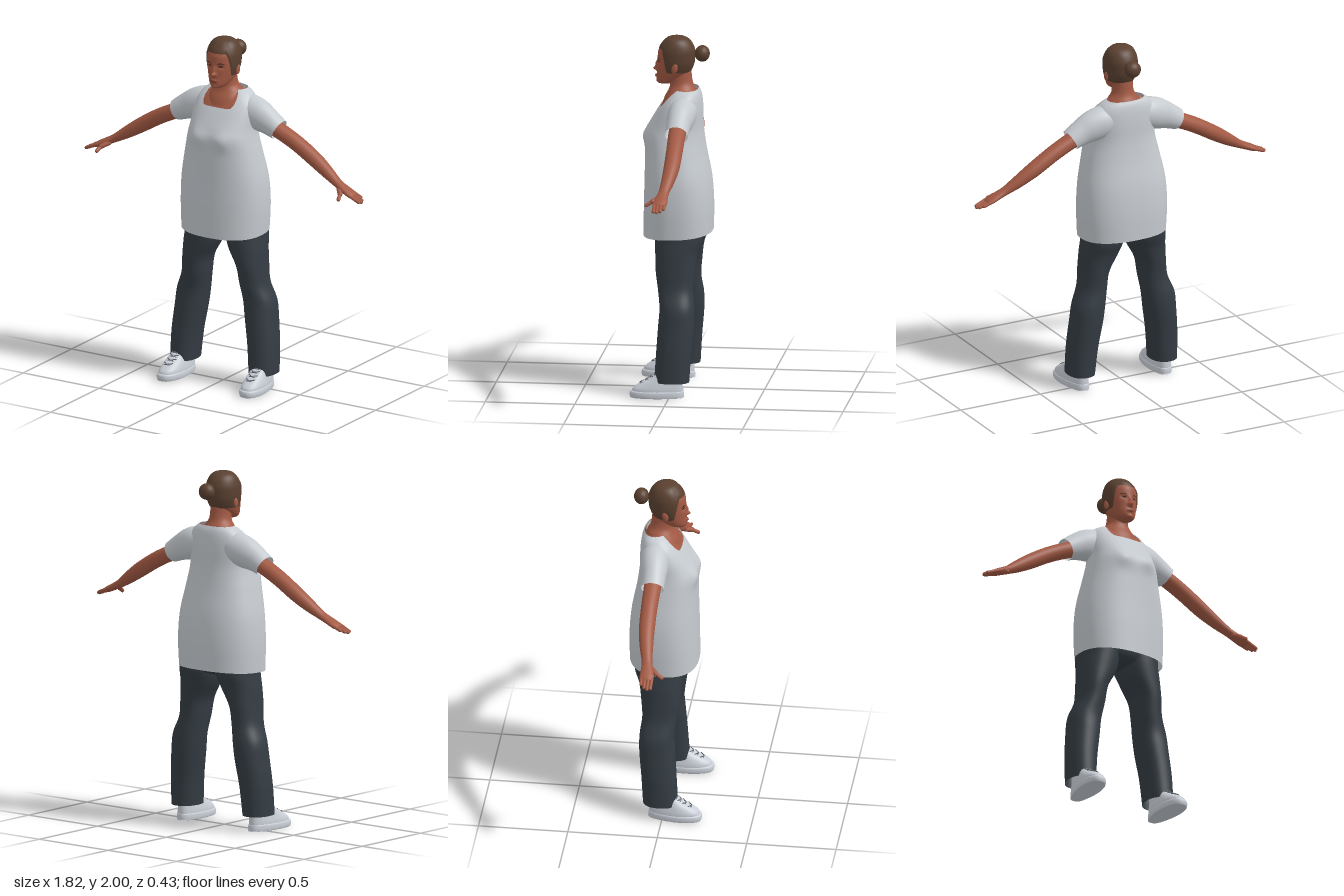
import * as THREE from 'three';

const mat = (name, color, side = THREE.FrontSide) => {
  const m = new THREE.MeshStandardMaterial({ color, side });
  m.name = name;
  return m;
};
const { sin, cos, sqrt, abs, sign, max, min, exp, PI } = Math;
const smooth = THREE.MathUtils.smoothstep, mix = THREE.MathUtils.lerp;

// Catmull-Rom sample of a list of cross-sections, t in 0..1
function sample(keys, t) {
  const n = keys.length - 1, p = min(max(t, 0), 1) * n, i = min(Math.floor(p), n - 1), f = p - i;
  const k = j => keys[min(max(j, 0), n)];
  return keys[0].map((_, c) => {
    const a = k(i - 1)[c], b = k(i)[c], d = k(i + 1)[c], e = k(i + 2)[c];
    return b + 0.5 * f * (d - a + f * (2 * a - 5 * b + 4 * d - e + f * (3 * (b - d) + e - a)));
  });
}

// Closed-around surface from point(angle, t)
function surface(point, nu = 40, nv = 40) {
  const pos = [], idx = [];
  for (let j = 0; j <= nv; j++)
    for (let i = 0; i < nu; i++) pos.push(...point(i / nu * 2 * PI, j / nv));
  for (let j = 0; j < nv; j++)
    for (let i = 0; i < nu; i++) {
      const a = j * nu + i, b = j * nu + (i + 1) % nu;
      idx.push(a, a + nu, b + nu, a, b + nu, b);
    }
  const g = new THREE.BufferGeometry();
  g.setAttribute('position', new THREE.Float32BufferAttribute(pos, 3));
  g.setIndex(idx);
  g.computeVertexNormals();
  return g;
}

// Horizontal section: [y, half width, front z, back z, centre x]
function ringPoint([y, hw, zf, zb, cx = 0], a, e = 1, grow = 0) {
  const pw = v => sign(v) * abs(v) ** e;
  return [cx + max(hw + grow, 0) * pw(cos(a)), y, (zf + zb) / 2 + ((zf - zb) / 2 + grow) * pw(sin(a))];
}
const stack = (keys, nu, nv, e) => surface((a, t) => ringPoint(sample(keys, t), a, e), nu, nv);

// Limb section along a path in x and y: [x, y, z, radius across, radius in z]
function limb(keys, nu = 28, nv = 40) {
  return surface((a, t) => {
    const [x, y, z, r, rz] = sample(keys, t);
    const p = sample(keys, t - 0.02), q = sample(keys, t + 0.02);
    const dx = q[0] - p[0], dy = q[1] - p[1], l = Math.hypot(dx, dy) || 1;
    return [x - dy / l * r * cos(a), y + dx / l * r * cos(a), z - rz * sin(a)];
  }, nu, nv);
}

function capsule(a, b, r) {
  const A = new THREE.Vector3(...a), B = new THREE.Vector3(...b), d = B.clone().sub(A);
  const g = new THREE.CapsuleGeometry(r, d.length(), 5, 10);
  g.applyQuaternion(new THREE.Quaternion().setFromUnitVectors(new THREE.Vector3(0, 1, 0), d.normalize()));
  const m = A.add(B).multiplyScalar(0.5);
  return g.translate(m.x, m.y, m.z);
}

function mirror(geo) {
  const g = geo.clone().scale(-1, 1, 1), ix = g.index.array;
  for (let i = 0; i < ix.length; i += 3) [ix[i], ix[i + 1]] = [ix[i + 1], ix[i]];
  g.computeVertexNormals();
  return g;
}

const TORSO = [[0.89, 0.25, 0.172, -0.212], [1.05, 0.257, 0.17, -0.214], [1.2, 0.249, 0.166, -0.203],
  [1.35, 0.22, 0.164, -0.175], [1.44, 0.2, 0.165, -0.162], [1.5, 0.19, 0.145, -0.157], [1.58, 0.187, 0.1, -0.155],
  [1.64, 0.175, 0.06, -0.15], [1.68, 0.145, 0.025, -0.142], [1.705, 0.108, -0.005, -0.13]];
const HEAD = [[1.725, 0, 0.05, 0.05], [1.732, 0.03, 0.093, 0.02], [1.75, 0.052, 0.102, -0.02],
  [1.775, 0.067, 0.101, -0.06], [1.8, 0.077, 0.099, -0.085], [1.84, 0.085, 0.099, -0.1], [1.88, 0.088, 0.097, -0.105],
  [1.92, 0.086, 0.092, -0.104], [1.96, 0.071, 0.066, -0.084], [1.984, 0.043, 0.034, -0.052], [1.992, 0, -0.008, -0.008]];
// Face relief: [x, y, spread x, spread y, depth]
const RELIEF = [[0, 1.812, 0.013, 0.011, 0.022], [0, 1.837, 0.009, 0.02, 0.012], [0.034, 1.857, 0.016, 0.011, -0.008],
  [-0.034, 1.857, 0.016, 0.011, -0.008], [0, 1.773, 0.02, 0.009, 0.008], [0, 1.742, 0.016, 0.009, 0.004]];
const relief = (x, y) => RELIEF.reduce((s, [cx, cy, sx, sy, d]) =>
  s + d * exp(-(((x - cx) / sx) ** 2) - ((y - cy) / sy) ** 2), 0);

function headT(y) {
  let lo = 0, hi = 1;
  for (let i = 0; i < 24; i++) {
    const m = (lo + hi) / 2;
    if (sample(HEAD, m)[0] < y) lo = m; else hi = m;
  }
  return lo;
}
function faceZ(x, y) {
  const [, hw, zf, zb] = sample(HEAD, headT(y));
  return (zf + zb) / 2 + (zf - zb) / 2 * sqrt(max(0, 1 - (x / hw) ** 2)) + relief(x, y);
}
// Thin painted patch laid over the face
function facePatch(x, y, rx, ry, bend = 0) {
  const g = new THREE.RingGeometry(0, 1, 24, 4), p = g.attributes.position;
  for (let i = 0; i < p.count; i++) {
    const u = p.getX(i), px = x + u * rx, py = y + p.getY(i) * ry - bend * u * u;
    p.setXYZ(i, px, py, faceZ(px, py) + 0.0025);
  }
  g.computeVertexNormals();
  return g;
}

export function createModel() {
  const group = new THREE.Group();
  const skin = mat('skin', 0xa35a44), lip = mat('lip', 0x8a4539), dark = mat('dark brown', 0x3b2620);
  const hair = mat('hair', 0x5a4030, THREE.DoubleSide), shirt = mat('shirt cloth', 0xc6cbd0, THREE.DoubleSide);
  const denim = mat('trouser cloth', 0x343c43, THREE.DoubleSide);
  const shoe = mat('shoe', 0xc9ced6), lace = mat('lace', 0x686d75);
  const add = (name, geo, m) => {
    const mesh = new THREE.Mesh(geo, m);
    mesh.name = name;
    group.add(mesh);
  };
  const pair = (name, geo, m) => {
    add('left' + name, geo, m);
    add('right' + name, mirror(geo), m);
  };

  // Tunic with scooped neckline, and the chest beneath it
  const torso = (a, t, grow) => {
    const p = ringPoint(sample(TORSO, t), a, 0.84, grow);
    if (sin(a) > 0) p[2] += 0.014 * exp(-(((abs(p[0]) - 0.085) / 0.055) ** 2) - ((p[1] - 1.455) / 0.05) ** 2);
    p[1] -= 0.012 * sin(a) * (1 - smooth(t, 0, 0.15));
    return p;
  };
  add('tunic', surface((a, t) => torso(a, t * mix(1, 0.725, smooth(sin(a), 0.66, 0.93)), 0), 72, 60), shirt);
  add('chest', surface((a, t) => torso(a, mix(0.55, 1, t), -0.007), 48, 24), skin);
  add('neck', stack([[1.62, 0.12, 0.07, -0.13], [1.66, 0.11, 0.055, -0.128], [1.695, 0.09, 0.036, -0.12],
    [1.725, 0.066, 0.028, -0.104], [1.76, 0.058, 0.032, -0.095], [1.82, 0.058, 0.035, -0.09]], 36, 24), skin);

  // Sleeves and arms
  pair('Sleeve', limb([[0.09, 1.6, -0.06, 0.08, 0.075], [0.15, 1.585, -0.058, 0.09, 0.08], [0.21, 1.565, -0.054, 0.088, 0.076],
    [0.27, 1.54, -0.05, 0.074, 0.067], [0.335, 1.507, -0.048, 0.06, 0.063]], 36, 24), shirt);
  pair('Arm', limb([[0.22, 1.55, -0.05, 0.05, 0.05], [0.34, 1.5, -0.05, 0.045, 0.048], [0.45, 1.447, -0.052, 0.044, 0.046],
    [0.57, 1.375, -0.05, 0.042, 0.044], [0.66, 1.318, -0.04, 0.034, 0.037], [0.73, 1.275, -0.028, 0.024, 0.03],
    [0.77, 1.255, -0.022, 0.021, 0.033], [0.82, 1.232, -0.018, 0.018, 0.039], [0.845, 1.22, -0.016, 0.012, 0.034],
    [0.852, 1.216, -0.016, 0, 0]]), skin);

  // Fingers and thumbs
  [0.875, 0.893, 0.902, 0.896].forEach((x, i) => {
    const z = -0.047 + i * 0.02;
    pair('Finger' + (i + 1), capsule([0.82, 1.233, z], [x, 1.197 + (0.902 - x) * 0.5, z * 0.9], 0.0095), skin);
  });
  pair('ThumbBase', capsule([0.755, 1.25, -0.005], [0.785, 1.232, 0.03], 0.014), skin);
  pair('Thumb', capsule([0.785, 1.232, 0.03], [0.795, 1.212, 0.063], 0.0105), skin);

  // Head, ears, and painted face
  add('head', surface((a, t) => {
    const p = ringPoint(sample(HEAD, t), a);
    if (sin(a) > 0) p[2] += relief(p[0], p[1]);
    return p;
  }, 110, 90), skin);
  pair('Ear', new THREE.SphereGeometry(1, 16, 12).scale(0.01, 0.03, 0.017).rotateX(-0.2).translate(0.089, 1.83, -0.008), skin);
  pair('Eye', facePatch(0.034, 1.857, 0.013, 0.0045), dark);
  pair('Eyebrow', facePatch(0.036, 1.877, 0.019, 0.0028, 0.005), dark);
  add('mouth', facePatch(0, 1.773, 0.025, 0.0075), lip);
  add('mouthLine', facePatch(0, 1.773, 0.023, 0.001).translate(0, 0, 0.001), dark);

  // Swept-back hair with a bun
  add('hair', surface((a, t) => {
    const start = headT(mix(1.8, 1.93, smooth(sin(a), 0.3, 0.78)));
    const p = ringPoint(sample(HEAD, mix(start, 1, t)), a, 1, 0.007 * smooth(t, -0.15, 0.25) * (1 - smooth(t, 0.92, 1)));
    p[1] += 0.008 * smooth(t, 0.2, 0.8);
    return p;
  }, 72, 36), hair);
  add('bun', new THREE.SphereGeometry(0.044, 24, 18).scale(1.08, 1.05, 0.95).translate(0, 1.902, -0.152), hair);

  // Trousers
  add('hips', stack([[0.855, 0, -0.04, -0.04], [0.868, 0.1, 0.04, -0.12], [0.9, 0.2, 0.085, -0.165],
    [0.98, 0.225, 0.1, -0.18], [1.05, 0.2, 0.1, -0.17]], 40, 16), denim);
  pair('TrouserLeg', stack([[0.96, 0.11, 0.095, -0.172, 0.128], [0.88, 0.111, 0.095, -0.172, 0.131], [0.8, 0.104, 0.092, -0.145, 0.147],
    [0.7, 0.08, 0.086, -0.13, 0.177], [0.6, 0.078, 0.072, -0.123, 0.19], [0.5, 0.09, 0.06, -0.134, 0.217],
    [0.4, 0.089, 0.066, -0.134, 0.23], [0.25, 0.084, 0.075, -0.12, 0.249], [0.09, 0.077, 0.085, -0.11, 0.258]].reverse(), 40, 60, 0.9), denim);

  // Shoes with thick soles and crossed laces
  const shoePart = (keys, nv) => surface((a, t) => {
    const p = ringPoint(sample(keys, t), a, 0.8);
    return [0.265 + p[0] * mix(0.84, 1, smooth(p[2], -0.05, 0.1)) + 0.05 * (p[2] - 0.07), p[1], p[2]];
  }, 48, nv);
  pair('Sole', shoePart([[0.002, 0, 0.07, 0.07], [0.001, 0.055, 0.2, -0.068], [0.008, 0.065, 0.218, -0.08],
    [0.03, 0.066, 0.219, -0.08], [0.04, 0.061, 0.211, -0.076], [0.042, 0.05, 0.19, -0.06]], 25), shoe);
  const UPPER = [[0.034, 0.062, 0.209, -0.077], [0.055, 0.061, 0.201, -0.077], [0.08, 0.056, 0.168, -0.076],
    [0.105, 0.051, 0.122, -0.076], [0.13, 0.048, 0.085, -0.077], [0.152, 0.044, 0.062, -0.075], [0.154, 0, 0, 0]];
  pair('ShoeUpper', shoePart(UPPER, 36), shoe);
  for (let i = 0; i < 4; i++) {
    const [y, , z] = sample(UPPER, 0.36 + i * 0.11), x = 0.265 + 0.05 * (z - 0.07);
    for (const s of [-1, 1]) {
      const path = new THREE.CatmullRomCurve3([[-0.028 * s, y - 0.006, z - 0.006], [0, y + 0.003, z + 0.001], [0.028 * s, y + 0.007, z - 0.018]]
        .map(p => new THREE.Vector3(x + p[0], p[1], p[2])));
      pair('Lace', new THREE.TubeGeometry(path, 8, 0.003, 6), lace);
    }
  }
  return group;
}
